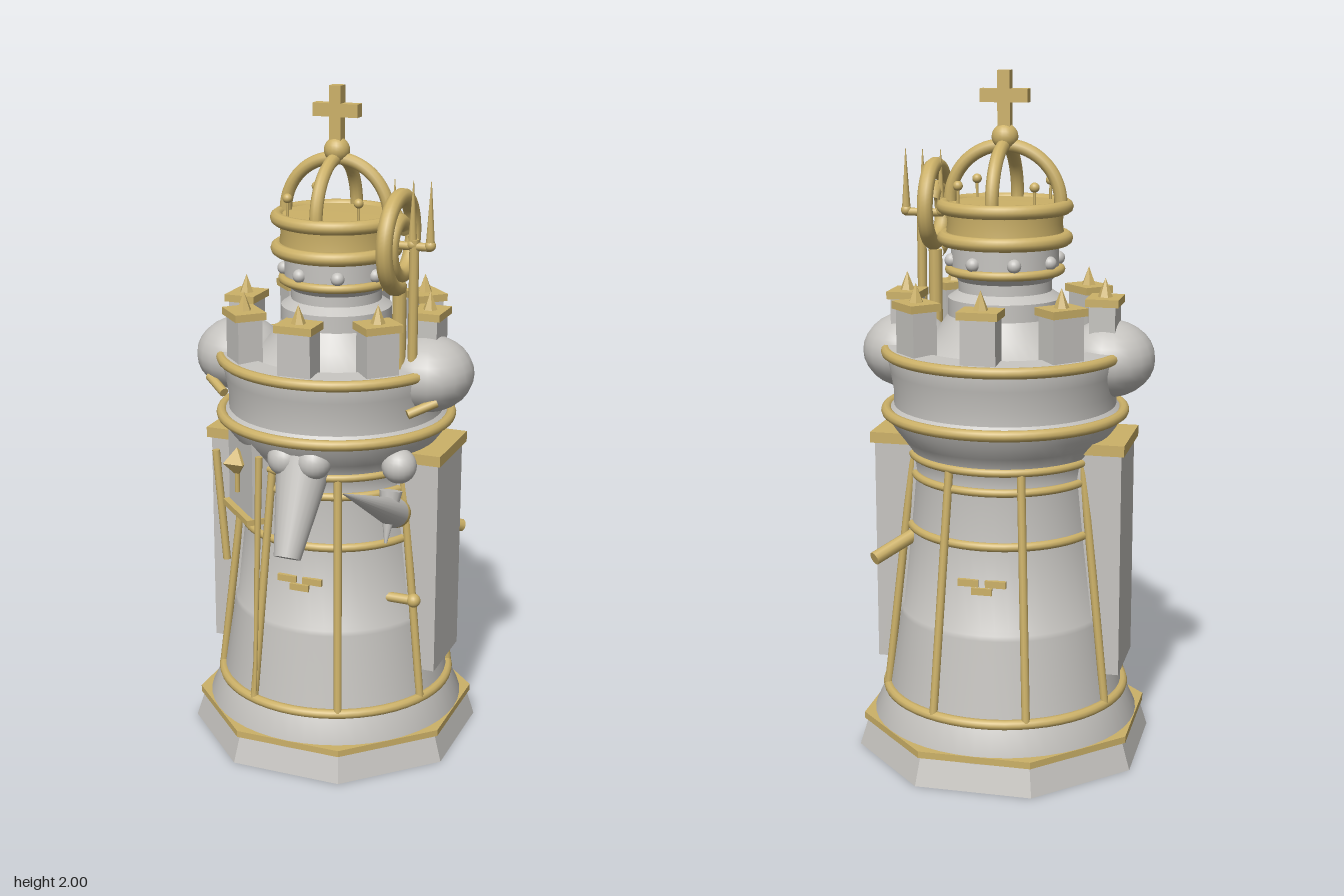
import * as THREE from 'three';
import { toCreasedNormals } from 'three/addons/utils/BufferGeometryUtils.js';

const silver = new THREE.MeshStandardMaterial({ color: 0xc6c4c0 });
silver.name = 'silver';
const gold = new THREE.MeshStandardMaterial({ color: 0xccb168 });
gold.name = 'gold';

const V = (x, y, z) => new THREE.Vector3(x, y, z);

export function createModel() {
  const model = new THREE.Group();
  model.name = 'towerChessPiece';
  // Everything is placed around the tower axis, which sits slightly behind the origin.
  const tower = new THREE.Group();
  tower.name = 'tower';
  tower.position.z = -0.1;
  model.add(tower);

  const add = (name, geo, mat, x = 0, y = 0, z = 0, parent = tower) => {
    const m = new THREE.Mesh(geo, mat);
    m.name = name;
    m.position.set(x, y, z);
    parent.add(m);
    return m;
  };
  const lathe = (name, pts, mat) => add(name,
    toCreasedNormals(new THREE.LatheGeometry(pts.map(p => new THREE.Vector2(p[0], p[1])), 48), 0.6), mat);
  const ring = (name, y, r, t) => {
    const m = add(name, new THREE.TorusGeometry(r, t, 10, 56), gold, 0, y, 0);
    m.rotation.x = Math.PI / 2;
    return m;
  };
  const ball = (name, mat, r, x, y, z) => add(name, new THREE.SphereGeometry(r, 20, 14), mat, x, y, z);
  // Tapered rod from a (radius ra) to b (radius rb)
  const rod = (name, mat, a, b, ra, rb = ra, sides = 10) => {
    const d = b.clone().sub(a);
    const m = add(name, new THREE.CylinderGeometry(rb, ra, d.length(), sides), mat);
    m.position.copy(a).addScaledVector(d, 0.5);
    m.quaternion.setFromUnitVectors(V(0, 1, 0), d.normalize());
    return m;
  };
  const around = (n, offset, fn) => {
    for (let i = 0; i < n; i++) fn(offset + (i * 2 * Math.PI) / n, i);
  };

  // Octagonal foot with gold trim
  const octagon = (rt, rb, h) => {
    const g = new THREE.CylinderGeometry(rt, rb, h, 8).toNonIndexed();
    g.rotateY(Math.PI / 8);
    g.computeVertexNormals();
    return g;
  };
  add('foot', octagon(0.418, 0.445, 0.085), silver, 0, 0.0425, 0);
  add('footTrim', octagon(0.43, 0.43, 0.02), gold, 0, 0.092, 0);
  lathe('footSlope', [[0.397, 0.08], [0.395, 0.105], [0.355, 0.19], [0, 0.19]], silver);

  // Tapering shaft, flared collar and drum
  lathe('shaft', [[0.352, 0.18], [0.315, 0.42], [0.313, 0.435], [0.305, 0.445], [0.28, 0.69],
    [0.265, 0.86], [0.272, 0.91], [0.3, 0.95], [0.33, 0.99], [0.345, 1.03]], silver);
  lathe('drum', [[0.345, 1.03], [0.325, 1.05], [0.325, 1.09], [0.335, 1.15], [0.345, 1.2], [0.34, 1.22],
    [0.275, 1.225], [0.265, 1.205], [0.245, 1.215], [0.2, 1.26], [0.165, 1.31]], silver);
  ring('baseRing', 0.185, 0.355, 0.015);
  ring('lowerBand', 0.69, 0.28, 0.013);
  ring('middleBand', 0.845, 0.268, 0.012);
  ring('upperBand', 0.905, 0.274, 0.012);
  ring('drumLowerRing', 1.03, 0.347, 0.016);
  ring('drumUpperRing', 1.205, 0.345, 0.016);

  // Gold ribs running up the shaft
  around(8, Math.PI / 8, a => {
    const s = Math.sin(a), c = Math.cos(a);
    rod('rib', gold, V(s * 0.356, 0.19, c * 0.356), V(s * 0.272, 0.9, c * 0.272), 0.012);
  });

  // Battlements with gold caps and six-sided spikes
  around(8, 0, a => {
    const g = new THREE.Group();
    g.name = 'battlement';
    g.position.set(Math.sin(a) * 0.293, 0, Math.cos(a) * 0.293);
    g.rotation.y = a;
    tower.add(g);
    add('merlon', new THREE.BoxGeometry(0.1, 0.15, 0.075), silver, 0, 1.275, 0, g);
    add('merlonCap', new THREE.BoxGeometry(0.115, 0.022, 0.095), gold, 0, 1.358, 0, g);
    const spike = new THREE.ConeGeometry(0.022, 0.055, 6).toNonIndexed();
    spike.computeVertexNormals();
    add('merlonSpike', spike, gold, 0, 1.396, 0, g);
  });

  // Side buttresses and round shoulders
  for (const s of [-1, 1]) {
    add('buttress', new THREE.BoxGeometry(0.16, 0.66, 0.23), silver, s * 0.285, 0.6, 0);
    add('buttressCap', new THREE.BoxGeometry(0.17, 0.032, 0.26), gold, s * 0.29, 0.95, 0);
    const shoulder = ball('shoulder', silver, 1, s * 0.3, 1.185, 0.03);
    shoulder.scale.set(0.135, 0.112, 0.14);
    rod('shoulderStrap', gold, V(s * 0.36, 1.13, 0.13), V(s * 0.29, 1.1, 0.18), 0.014);
  }

  // Turret neck and crown
  lathe('turret', [[0.165, 1.2], [0.165, 1.36], [0.135, 1.38], [0.135, 1.41], [0.155, 1.43], [0.155, 1.54]], silver);
  ring('neckRing', 1.44, 0.16, 0.013);
  lathe('crownBand', [[0, 1.52], [0.172, 1.52], [0.165, 1.575], [0.172, 1.63], [0, 1.635]], gold);
  ring('crownLowerRing', 1.53, 0.175, 0.02);
  ring('crownUpperRing', 1.62, 0.176, 0.02);
  for (const turn of [0, Math.PI / 2]) {
    const arch = add('crownArch', new THREE.TorusGeometry(0.162, 0.019, 10, 36, Math.PI), gold, 0, 1.63, 0);
    arch.rotation.y = turn;
  }
  around(4, Math.PI / 4, a => {
    const x = Math.sin(a) * 0.155, z = Math.cos(a) * 0.155;
    rod('crownPin', gold, V(x, 1.62, z), V(x, 1.68, z), 0.004);
    ball('crownPearl', gold, 0.014, x, 1.685, z);
  });
  around(8, Math.PI / 8, a => ball('neckPearl', silver, 0.02, Math.sin(a) * 0.155, 1.468, Math.cos(a) * 0.155));
  ball('orb', gold, 0.038, 0, 1.815, 0);
  add('crossPost', new THREE.BoxGeometry(0.036, 0.16, 0.036), gold, 0, 1.92, 0);
  add('crossArm', new THREE.BoxGeometry(0.138, 0.038, 0.036), gold, 0, 1.93, 0);

  // Front beaked mask
  rod('beak', silver, V(0, 0.97, 0.24), V(0, 0.69, 0.385), 0.088, 0.04, 24);
  for (const s of [-1, 1]) ball('eyeball', silver, 0.052, s * 0.045, 0.96, 0.29);

  // Horn thrusting forward on the left side
  rod('horn', silver, V(0.25, 0.79, 0.17), V(0.255, 1.0, 0.6), 0.045, 0.001, 20);
  ball('hornSocket', gold, 0.045, 0.25, 0.785, 0.155);
  ball('hornKnob', silver, 0.052, 0.265, 0.94, 0.175);
  rod('fang', silver, V(0.25, 0.87, 0.2), V(0.25, 0.72, 0.24), 0.035, 0.004, 12);

  // Crozier: shaft with a spiral head
  const spiral = [];
  for (let i = 0; i <= 26; i++) {
    const a = -Math.PI / 2 + (i / 26) * Math.PI * 3.3;
    const r = 0.128 - 0.08 * Math.max(0, (i - 9) / 17);
    spiral.push(V(0.245, 1.59 + Math.sin(a) * r, 0.14 + Math.cos(a) * r));
  }
  add('crozierHead', new THREE.TubeGeometry(new THREE.CatmullRomCurve3(spiral), 90, 0.024, 10), gold);
  rod('crozierShaft', gold, V(0.245, 1.2, 0.135), V(0.245, 1.47, 0.135), 0.02);

  // Trident beside it
  rod('tridentShaft', gold, V(0.285, 1.2, 0.13), V(0.285, 1.6, 0.13), 0.014);
  rod('tridentBar', gold, V(0.22, 1.58, 0.13), V(0.335, 1.58, 0.13), 0.012);
  for (const x of [0.225, 0.28, 0.332]) {
    ball('tridentKnob', gold, 0.016, x, 1.585, 0.13);
    rod('tridentProng', gold, V(x, 1.58, 0.13), V(x, 1.765, 0.13), 0.014, 0.001, 8);
  }

  // Shield panel with a diamond on the right front
  const panel = new THREE.Group();
  panel.name = 'shieldPanel';
  panel.position.set(-0.2, 0, 0.2);
  panel.rotation.y = -Math.PI / 4;
  tower.add(panel);
  add('panelPlate', new THREE.BoxGeometry(0.2, 0.28, 0.06), silver, 0, 0.88, 0, panel);
  add('panelDiamond', new THREE.OctahedronGeometry(0.045), gold, 0, 0.905, 0.04, panel);
  add('diamondStem', new THREE.CylinderGeometry(0.008, 0.008, 0.08, 8), gold, 0, 0.85, 0.04, panel);
  add('panelSill', new THREE.BoxGeometry(0.21, 0.018, 0.08), gold, 0, 0.745, 0.01, panel);
  rod('lance', gold, V(-0.12, 0.96, 0.31), V(-0.12, 0.22, 0.36), 0.011, 0.005);
  rod('rightLance', gold, V(-0.34, 0.9, 0.14), V(-0.305, 0.55, 0.15), 0.012);

  // Slot plates front and back, small pegs round the shaft
  for (const s of [-1, 1]) {
    for (const x of [-0.04, 0.04])
      add('slotLintel', new THREE.BoxGeometry(0.06, 0.02, 0.012), gold, x, 0.585, s * 0.292);
    add('slotSill', new THREE.BoxGeometry(0.06, 0.02, 0.012), gold, 0, 0.562, s * 0.294);
  }
  rod('peg', gold, V(0.22, 0.52, 0.17), V(0.31, 0.52, 0.17), 0.015);
  ball('pegHead', gold, 0.021, 0.315, 0.52, 0.17);
  rod('spout', gold, V(0.24, 0.665, -0.12), V(0.335, 0.615, -0.235), 0.02);

  return model;
}
